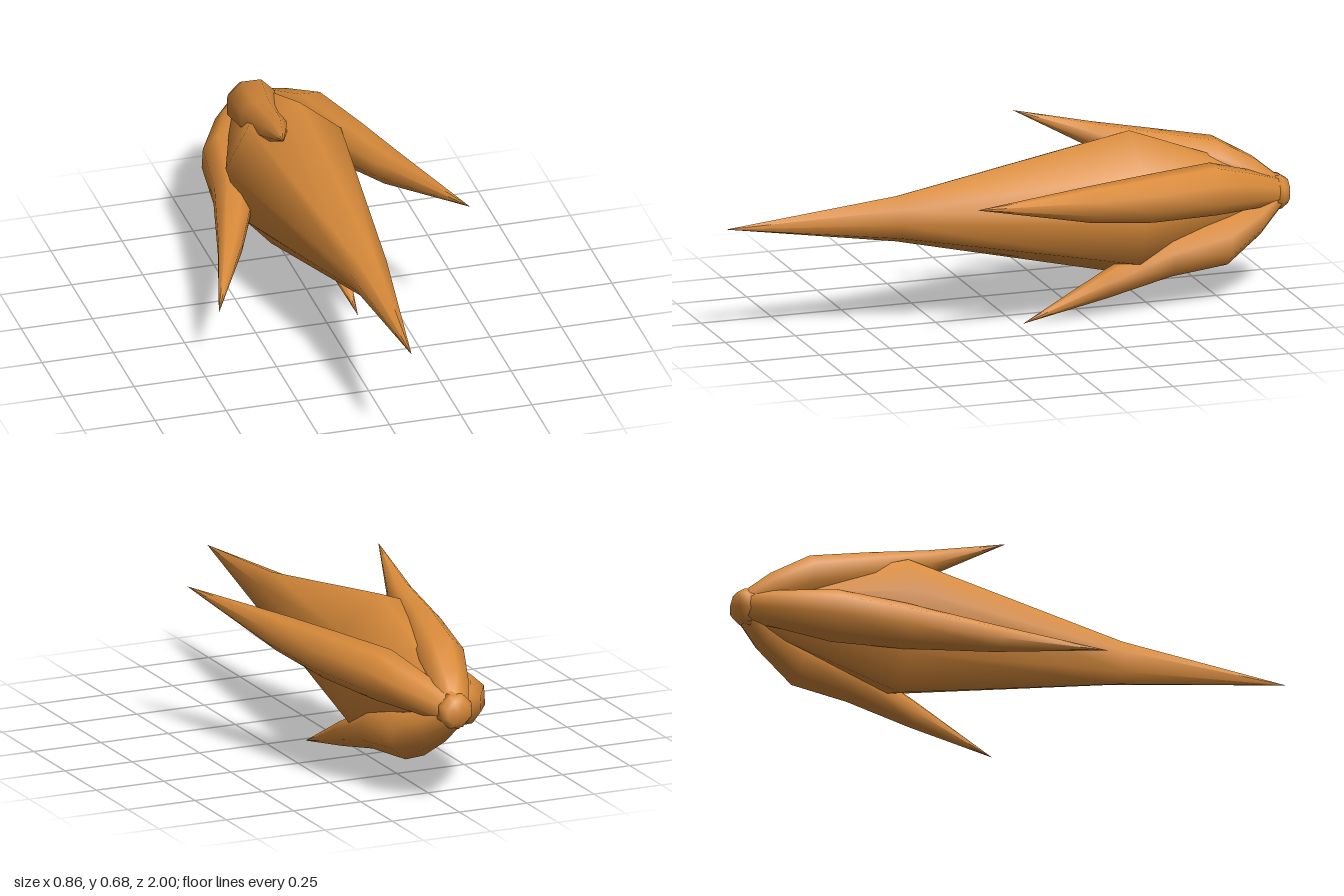
import * as THREE from 'three';

// Smooth skin over cross-sections [x, y, z, scale], running from front to back
function loft(sections, outline) {
  const n = outline.length, pos = [], idx = [];
  for (const [x, y, z, s] of sections)
    for (const [ox, oy] of outline) pos.push(x + ox * s, y + oy * s, z);
  for (let i = 0; i < sections.length - 1; i++)
    for (let j = 0; j < n; j++) {
      const a = i * n + j, b = i * n + (j + 1) % n, c = a + n, d = b + n;
      if (sections[i][3] > 0) idx.push(a, c, b);
      if (sections[i + 1][3] > 0) idx.push(b, c, d);
    }
  const g = new THREE.BufferGeometry();
  g.setAttribute('position', new THREE.Float32BufferAttribute(pos, 3));
  g.setIndex(idx);
  g.computeVertexNormals();
  return g;
}

function polygon(sides, turn = 0) {
  return Array.from({ length: sides }, (_, i) => {
    const a = turn + (i / sides) * Math.PI * 2;
    return [Math.cos(a), Math.sin(a)];
  });
}

export function createModel() {
  const group = new THREE.Group();
  const orange = new THREE.MeshStandardMaterial({ color: 0xd98b3b });
  orange.name = 'carrot orange';
  const add = (name, geometry) => {
    const mesh = new THREE.Mesh(geometry, orange);
    mesh.name = name;
    group.add(mesh);
  };

  // Main root: uneven eight-sided section, long point to the front
  const bodyOutline = [
    [0.21, -0.025], [0.195, 0.14], [0.05, 0.26], [-0.13, 0.195],
    [-0.21, 0.045], [-0.145, -0.16], [-0.05, -0.265], [0.165, -0.18],
  ];
  add('mainRoot', loft([
    [0.005, 0.4, 1, 0], [0.03, 0.39, 0.4, 0.32], [-0.02, 0.36, -0.43, 1],
    [0, 0.35, -0.97, 0.24], [0, 0.35, -0.97, 0],
  ], bodyOutline));

  // Side roots: swell out from the crown, then taper to a forward point
  const sideRoots = {
    leftRoot: [[0.43, 0.512, 0.25, 0], [0.285, 0.45, -0.2, 0.062], [0.215, 0.43, -0.44, 0.082],
      [0.14, 0.42, -0.69, 0.09], [0.08, 0.39, -0.83, 0.07]],
    rightRoot: [[-0.432, 0.2, 0.18, 0], [-0.29, 0.245, -0.17, 0.046], [-0.19, 0.285, -0.46, 0.078],
      [-0.15, 0.3, -0.7, 0.09], [-0.08, 0.325, -0.87, 0.065]],
    lowerRoot: [[0.115, 0.003, -0.02, 0], [0.105, 0.112, -0.32, 0.048], [0.09, 0.19, -0.55, 0.075],
      [0.06, 0.22, -0.76, 0.09], [0.03, 0.28, -0.89, 0.065]],
    upperRoot: [[-0.132, 0.681, -0.07, 0], [-0.085, 0.58, -0.34, 0.048], [-0.075, 0.515, -0.55, 0.072],
      [-0.045, 0.46, -0.76, 0.09], [-0.02, 0.405, -0.89, 0.07]],
  };
  for (const [name, sections] of Object.entries(sideRoots)) {
    const [tx, ty] = sections[0];
    const turn = Math.atan2(ty - 0.35, tx);
    const end = [[0, 0.35, -0.985, 0.045], [0, 0.35, -0.985, 0]];
    add(name, loft([...sections, ...end], polygon(8, turn)));
  }

  // Blunt crown where all roots meet
  add('crown', loft([
    [0, 0.35, -0.92, 0], [0, 0.35, -0.95, 0.065], [0, 0.35, -0.975, 0.062],
    [0, 0.35, -1, 0.045], [0, 0.35, -1, 0],
  ], polygon(8, Math.PI / 8)));

  return group;
}
